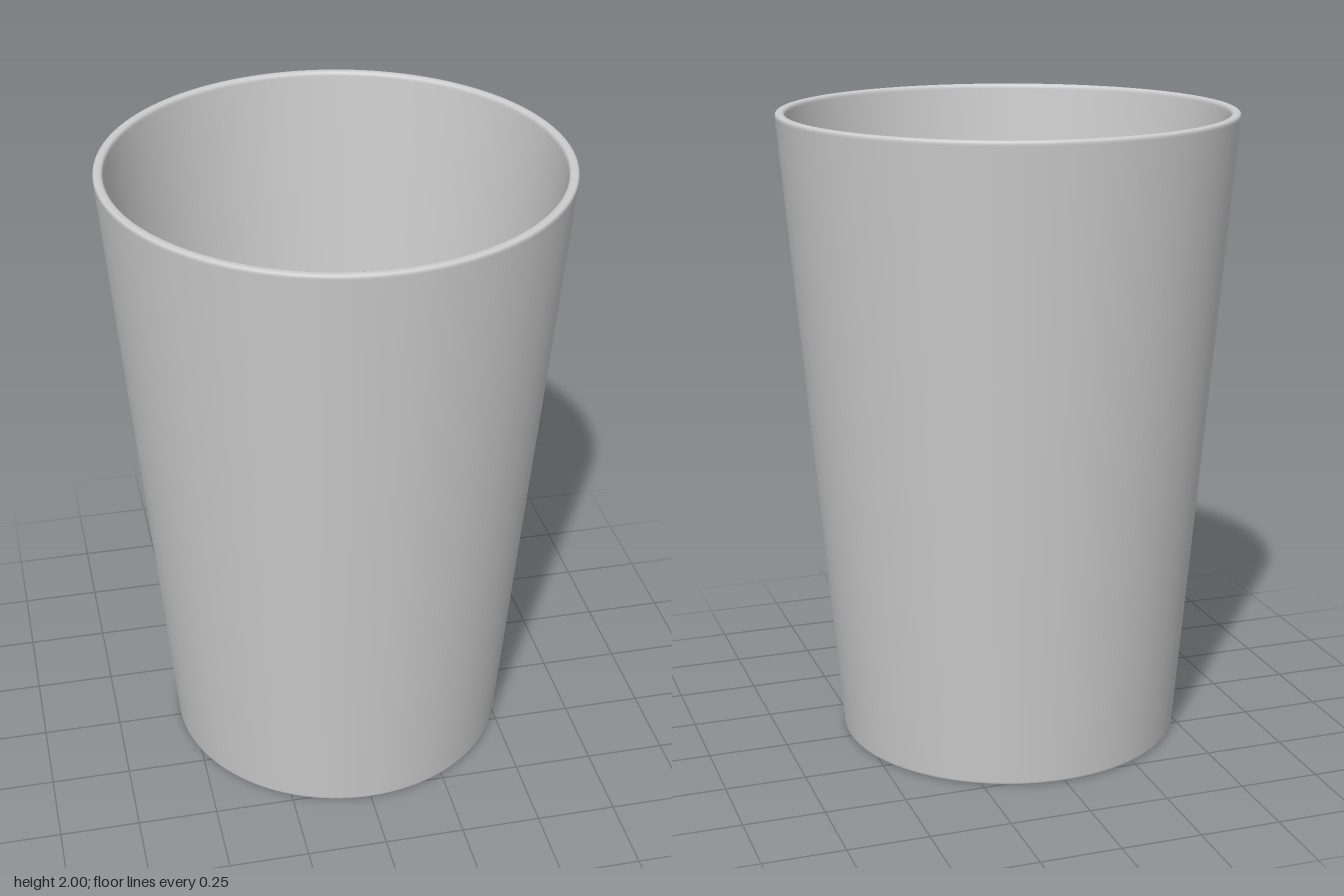
import * as THREE from 'three';

// Profile corners: [radius, height, rounding], from underside centre, over the rim, to floor centre
const CORNERS = [
  [0, 0.04, 0],
  [0.41, 0.04, 0.006],  // recessed base
  [0.47, 0, 0.006],     // foot ring, inner edge
  [0.54, 0, 0.01],      // foot ring, outer edge
  [0.71, 2, 0.012],     // rim, outer edge
  [0.68, 2, 0.012],     // rim, inner edge
  [0.49, 0.08, 0.02],   // inside floor edge
  [0, 0.08, 0],
];

// Rounds every corner, with a support point on each side so long faces shade cleanly
function roundedProfile(corners) {
  const pts = corners.map(([r, y]) => new THREE.Vector2(r, y));
  const out = [];
  corners.forEach(([, , round], i) => {
    const p = pts[i];
    if (!round) {
      out.push(p);
      return;
    }
    const toward = (q, d) => q.clone().sub(p).setLength(d).add(p);
    const a = pts[i - 1], b = pts[i + 1];
    const curve = new THREE.QuadraticBezierCurve(toward(a, round), p, toward(b, round));
    out.push(toward(a, round * 1.2), ...curve.getPoints(5), toward(b, round * 1.2));
  });
  return out;
}

export function createModel() {
  const group = new THREE.Group();
  group.name = 'tumbler';

  // Whole cup as one closed turned shell
  const cup = new THREE.Mesh(
    new THREE.LatheGeometry(roundedProfile(CORNERS), 128),
    new THREE.MeshStandardMaterial({ color: 0xcccccc })
  );
  cup.name = 'cup';
  group.add(cup);
  return group;
}
